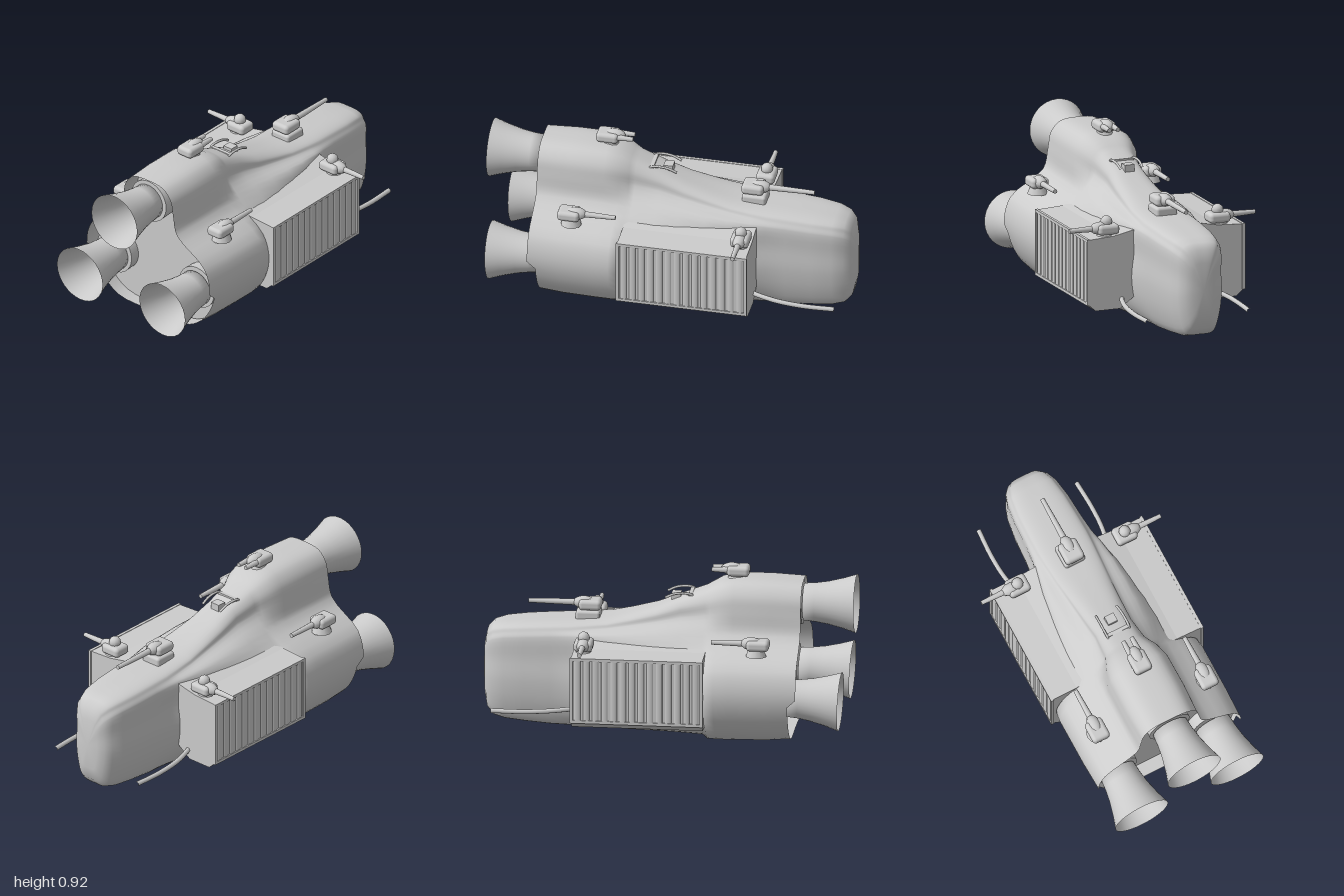
import * as THREE from 'three';
import { RoundedBoxGeometry } from 'three/addons/geometries/RoundedBoxGeometry.js';

const grey = new THREE.MeshStandardMaterial({ color: 0xcccccc });
const thin = new THREE.MeshStandardMaterial({ color: 0xcccccc, side: THREE.DoubleSide });

function add(parent, name, geo, x = 0, y = 0, z = 0, mat = grey) {
  const m = new THREE.Mesh(geo, mat);
  m.name = name;
  m.position.set(x, y, z);
  parent.add(m);
  return m;
}
const box = (x, y, z) => new THREE.BoxGeometry(x, y, z);

// hull stations: x, bottom, half width, shoulder z, shoulder y, ridge half width, top, belly fraction
const STATIONS = [
  [-0.72, 0.03, 0.425, 0.2, 0.59, 0.172, 0.855, 0.58],
  [-0.55, 0.02, 0.43, 0.2, 0.59, 0.18, 0.862, 0.58],
  [-0.36, 0.015, 0.43, 0.2, 0.59, 0.178, 0.862, 0.58],
  [-0.28, 0.015, 0.43, 0.2, 0.585, 0.16, 0.84, 0.58],
  [-0.23, 0.015, 0.425, 0.2, 0.58, 0.138, 0.812, 0.57],
  [-0.2, 0.015, 0.365, 0.2, 0.58, 0.125, 0.795, 0.48],
  [-0.07, 0.015, 0.345, 0.21, 0.58, 0.113, 0.745, 0.44],
  [0.06, 0.015, 0.325, 0.215, 0.575, 0.122, 0.69, 0.42],
  [0.2, 0.015, 0.29, 0.215, 0.565, 0.132, 0.65, 0.43],
  [0.32, 0.02, 0.255, 0.208, 0.558, 0.142, 0.62, 0.46],
  [0.44, 0.02, 0.21, 0.19, 0.548, 0.15, 0.61, 0.52],
  [0.52, 0.022, 0.182, 0.175, 0.54, 0.153, 0.605, 0.56],
  [0.62, 0.025, 0.17, 0.166, 0.533, 0.15, 0.6, 0.6],
  [0.76, 0.035, 0.163, 0.159, 0.523, 0.144, 0.59, 0.6],
  [0.87, 0.045, 0.148, 0.144, 0.512, 0.129, 0.578, 0.6],
  [0.93, 0.06, 0.128, 0.124, 0.495, 0.108, 0.562, 0.6],
  [0.965, 0.1, 0.1, 0.096, 0.468, 0.08, 0.53, 0.6],
  [0.98, 0.17, 0.06, 0.057, 0.415, 0.047, 0.46, 0.6],
];

// closed cross-section of one station as (z, y) points
function section([, y0, w, zs, ys, zt, yt, belly]) {
  const h = ys - y0, r = yt - ys;
  const half = [
    [0, y0], [belly * w, y0 + 0.02 * h], [0.86 * w, y0 + 0.2 * h], [w, y0 + 0.5 * h],
    [Math.max(0.91 * w, zs), y0 + 0.76 * h], [zs, ys], [zt, ys + 0.42 * r], [0.9 * zt, ys + 0.74 * r],
    [0.6 * zt, ys + 0.95 * r], [0, yt],
  ];
  const all = half.concat(half.slice(1, -1).reverse().map(([z, y]) => [-z, y]));
  const curve = new THREE.CatmullRomCurve3(
    all.map(([z, y]) => new THREE.Vector3(z, y, 0)), true, 'centripetal');
  const pts = [];
  for (let i = 0; i < 72; i++) pts.push(curve.getPoint(i / 72));
  return pts;
}

function hullGeometry() {
  const pos = [], idx = [], n = 72;
  STATIONS.forEach((s, i) => {
    for (const p of section(s)) {
      // the lower rear edge is set slightly forward
      const step = i === 0 && p.y < 0.27 ? 0.045 : 0;
      pos.push(s[0] + step, p.y, p.x);
    }
  });
  const last = STATIONS.length - 1;
  for (let i = 0; i < last; i++) {
    for (let j = 0; j < n; j++) {
      const a = i * n + j, b = i * n + (j + 1) % n;
      idx.push(a, a + n, b, b, a + n, b + n);
    }
  }
  // blunt nose cap
  const c = pos.length / 3;
  pos.push(0.99, 0.31, 0);
  for (let j = 0; j < n; j++) idx.push(c, last * n + (j + 1) % n, last * n + j);
  const g = new THREE.BufferGeometry();
  g.setAttribute('position', new THREE.Float32BufferAttribute(pos, 3));
  g.setIndex(idx);
  g.computeVertexNormals();
  return g;
}

// gun turret aimed along its own +x, standing on y = 0
function turret(parent, name, x, y, z, heading, { width = 0.1, length = 0.2, twin = false }) {
  const t = new THREE.Group();
  t.name = name;
  t.position.set(x, y, z);
  t.rotation.y = heading;
  add(t, 'turretBase', new THREE.CylinderGeometry(0.035, 0.055, 0.05, 12), 0, 0.012, 0);
  add(t, 'turretHousing', new RoundedBoxGeometry(0.12, 0.055, width, 3, 0.02), -0.01, 0.05, 0);
  const head = add(t, 'turretHead', new THREE.SphereGeometry(0.04, 12, 8), 0.025, 0.055, 0);
  head.scale.set(1.5, 0.85, 0.9);
  for (const s of twin ? [-1, 1] : [0]) {
    const b = add(t, 'barrel', new THREE.CylinderGeometry(0.012, 0.018, length, 10),
      0.03 + length / 2, 0.055, s * 0.025);
    b.rotation.z = -Math.PI / 2;
  }
  parent.add(t);
}

// flared engine nozzle opening towards -x
function engine(parent, x, y, z, tilt) {
  const e = new THREE.Group();
  e.name = 'engine';
  e.position.set(x, y, z);
  e.rotation.z = Math.PI / 2 + tilt;
  const profile = [[0, 0.03], [0.075, 0.03], [0.1, 0], [0.104, 0.06], [0.115, 0.13], [0.135, 0.21], [0.157, 0.28]];
  add(e, 'nozzle', new THREE.LatheGeometry(
    profile.map(([r, h]) => new THREE.Vector2(r, h)), 32), 0, 0, 0, thin);
  parent.add(e);
}

function cargoPod(parent, side) {
  const p = new THREE.Group();
  p.name = side > 0 ? 'leftPod' : 'rightPod';
  // boxy profile with a bevelled lower edge and a top rising to the hull
  const shape = new THREE.Shape([
    [0.15, 0.2], [0.265, 0.118], [0.405, 0.118], [0.447, 0.155], [0.447, 0.51], [0.3, 0.518], [0.17, 0.545],
  ].map(([z, y]) => new THREE.Vector2(side * z, y)));
  const g = new THREE.ExtrudeGeometry(shape, { depth: 0.7, bevelEnabled: false });
  g.rotateY(-Math.PI / 2);
  add(p, 'podBody', g, 0.475, 0, 0);
  // frame and vertical ribs on the outer wall
  for (const y of [0.16, 0.505]) add(p, 'podRail', box(0.71, 0.016, 0.016), 0.125, y, side * 0.447);
  for (const x of [-0.222, 0.472]) add(p, 'podPost', box(0.016, 0.35, 0.016), x, 0.333, side * 0.447);
  for (let i = 0; i < 14; i++) {
    const rib = add(p, 'podRib', new THREE.CylinderGeometry(0.018, 0.018, 0.33, 12),
      -0.19 + i * 0.0485, 0.333, side * 0.446);
    rib.scale.z = 0.4;
  }
  parent.add(p);
}

export function createModel() {
  const ship = new THREE.Group();
  ship.name = 'spaceship';
  add(ship, 'hull', hullGeometry(), 0, 0, 0, thin);

  // recessed rear wall, just inside the hull skin
  const wall = new THREE.ShapeGeometry(new THREE.Shape(
    section(STATIONS[1]).map((p) => new THREE.Vector2(p.x * 0.98, 0.4 + (p.y - 0.4) * 0.98))));
  wall.rotateY(-Math.PI / 2);
  add(ship, 'rearWall', wall, -0.6, 0, 0, thin);

  // three engines with round housings
  for (const [x, y, z, tilt] of [
    [-0.72, 0.728, 0, 0], [-0.665, 0.28, 0.285, 0.04], [-0.665, 0.28, -0.285, 0.04],
  ]) {
    const h = add(ship, 'engineHousing', new THREE.CylinderGeometry(0.12, 0.115, 0.16, 28), x + 0.085, y, z);
    h.rotation.z = Math.PI / 2;
    engine(ship, x, y, z, tilt);
  }

  // parts mirrored on both sides
  for (const s of [1, -1]) {
    cargoPod(ship, s);
    turret(ship, 'rearTurret', -0.5, 0.533, s * 0.325, 0, { length: 0.21 });
    turret(ship, 'podTurret', 0.42, 0.5, s * 0.33, -s * Math.PI / 2, { length: 0.175 });
    add(ship, 'podTurretCap', new THREE.SphereGeometry(0.032, 10, 8), 0.42, 0.588, s * 0.32);
    // curved forward arm beneath the pod
    const path = new THREE.CatmullRomCurve3([
      [0.44, 0.17, 0.24], [0.52, 0.168, 0.27], [0.62, 0.163, 0.293], [0.76, 0.157, 0.3], [0.92, 0.155, 0.292],
    ].map(([x, y, z]) => new THREE.Vector3(x, y, s * z)));
    add(ship, 'forwardArm', new THREE.TubeGeometry(path, 20, 0.013, 8));
    // antenna prong on the ridge
    const prong = new THREE.CatmullRomCurve3([
      [-0.14, 0.75, 0.06], [-0.12, 0.768, 0.065], [-0.04, 0.768, 0.065], [0.015, 0.745, 0.062],
    ].map(([x, y, z]) => new THREE.Vector3(x, y, s * z)));
    add(ship, 'antennaProng', new THREE.TubeGeometry(prong, 12, 0.007, 6));
  }
  add(ship, 'antennaBlock', box(0.05, 0.04, 0.055), -0.04, 0.74, 0);
  add(ship, 'antennaBar', box(0.02, 0.012, 0.13), -0.12, 0.764, 0);

  // centre-line turrets
  turret(ship, 'topTurret', -0.36, 0.843, 0, 0, { length: 0.1, twin: true });
  turret(ship, 'foreTurret', 0.43, 0.628, 0, 0, { width: 0.11, length: 0.29 });
  add(ship, 'foreTurretMount', new RoundedBoxGeometry(0.13, 0.06, 0.12, 3, 0.015), 0.43, 0.62, 0);
  return ship;
}
